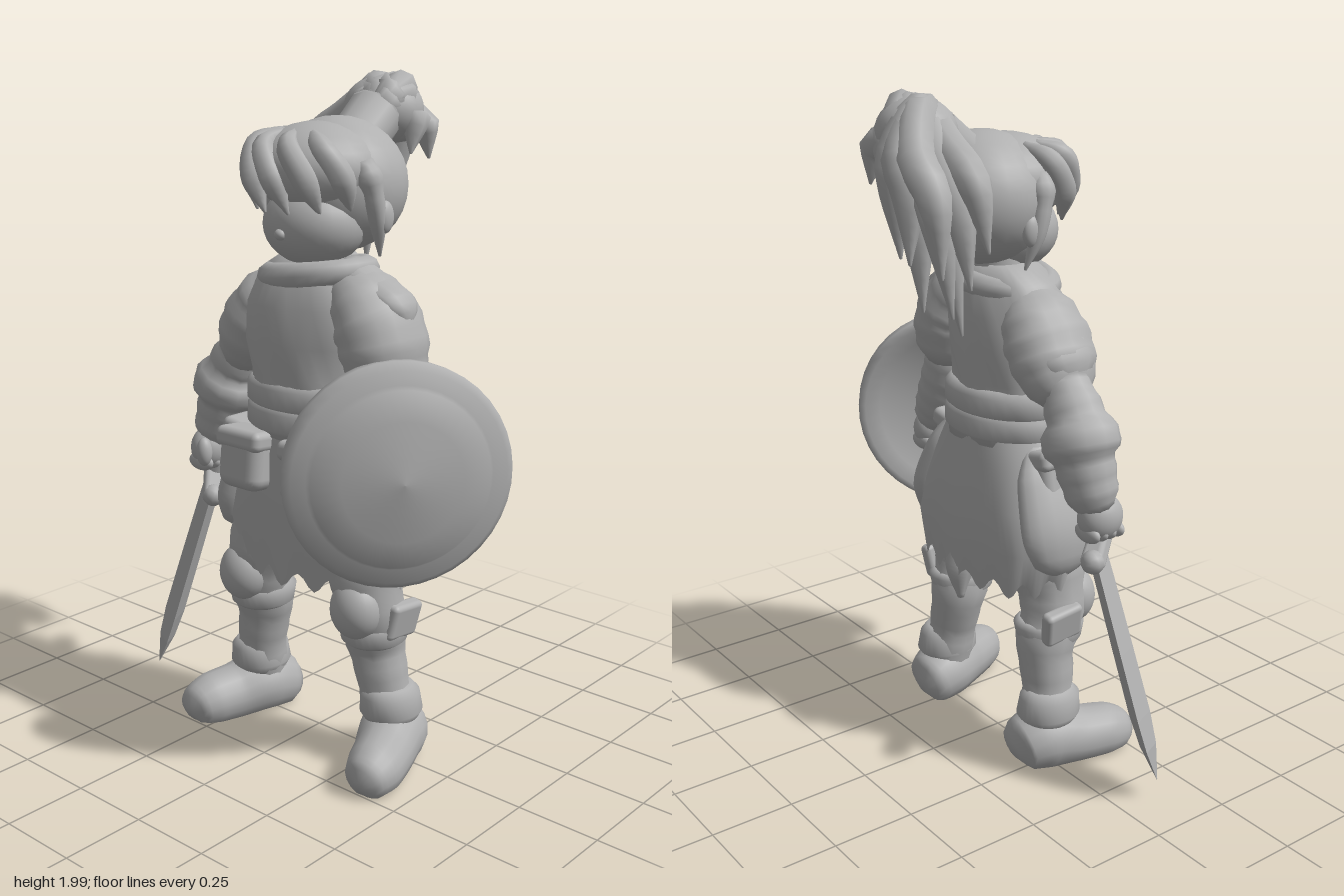
import * as THREE from 'three';
import { RoundedBoxGeometry } from 'three/addons/geometries/RoundedBoxGeometry.js';

const V = (x, y, z) => new THREE.Vector3(x, y, z);

// Closed skin over a list of rings, each with the same number of points
function skin(rings, caps = true) {
  const n = rings[0].length, pos = [], idx = [];
  rings.forEach(r => r.forEach(p => pos.push(p.x, p.y, p.z)));
  for (let i = 0; i < rings.length - 1; i++) for (let j = 0; j < n; j++) {
    const a = i * n + j, b = i * n + (j + 1) % n;
    idx.push(a, b, a + n, b, b + n, a + n);
  }
  const cap = (row, flip) => {
    const c = rings[row].reduce((s, p) => s.add(p), V(0, 0, 0)).divideScalar(n);
    const k = pos.length / 3;
    pos.push(c.x, c.y, c.z);
    for (let j = 0; j < n; j++) {
      const a = row * n + j, b = row * n + (j + 1) % n;
      flip ? idx.push(k, b, a) : idx.push(k, a, b);
    }
  };
  if (caps) {
    cap(0, true);
    cap(rings.length - 1, false);
  }
  const g = new THREE.BufferGeometry();
  g.setAttribute('position', new THREE.Float32BufferAttribute(pos, 3));
  g.setIndex(idx);
  g.computeVertexNormals();
  return g;
}

// Tapered limb through [x, y, z, radius] points; wide stretches it along x
function limb(pts, { steps = 16, sides = 12, floor = -1, folds = 0, wide = 1 } = {}) {
  const curve = new THREE.CatmullRomCurve3(pts.map(p => V(p[0], p[1], p[2])));
  const rad = new THREE.CatmullRomCurve3(pts.map(p => V(p[3], 0, 0)));
  const f = curve.computeFrenetFrames(steps);
  const rings = [];
  for (let i = 0; i <= steps; i++) {
    const u = i / steps, t = curve.getUtoTmapping(u), c = curve.getPoint(t);
    const r = Math.max(0.002, rad.getPoint(t).x) * (1 + folds * Math.sin(i * 1.9));
    rings.push(Array.from({ length: sides }, (_, j) => {
      const a = j / sides * Math.PI * 2;
      const p = c.clone().addScaledVector(f.normals[i], r * Math.cos(a))
        .addScaledVector(f.binormals[i], r * Math.sin(a));
      p.x = c.x + (p.x - c.x) * wide;
      p.y = Math.max(p.y, floor);
      return p;
    }));
  }
  return skin(rings);
}

// Stack of level ovals [x, y, z, rx, rz], listed from top to bottom
function stack(rows, { sides = 32, shape = () => [1, 0], open = false } = {}) {
  return skin(rows.map(([x, y, z, rx, rz], i) => Array.from({ length: sides }, (_, j) => {
    const a = j / sides * Math.PI * 2, [s, dy] = shape(a, i);
    return V(x + rx * s * Math.cos(a), y + dy, z + rz * s * Math.sin(a));
  })), !open);
}

export function createModel() {
  const model = new THREE.Group();
  const grey = new THREE.MeshStandardMaterial({ color: 0xb0b0b0, side: THREE.DoubleSide });
  grey.name = 'grey';
  const add = (name, geo, parent = model) => {
    const m = new THREE.Mesh(geo, grey);
    m.name = name;
    parent.add(m);
    return m;
  };
  const ball = (name, x, y, z, rx, ry, rz) => {
    const m = add(name, new THREE.SphereGeometry(1, 24, 16));
    m.position.set(x, y, z);
    m.scale.set(rx, ry, rz);
  };
  const box = (name, x, y, z, w, h, d, rx = 0, rz = 0) => {
    const m = add(name, new RoundedBoxGeometry(w, h, d, 3, Math.min(w, h, d) * 0.35));
    m.position.set(x, y, z);
    m.rotation.set(rx, 0, rz);
  };

  // Head, facing -x
  ball('hairCap', 0.02, 1.685, 0.05, 0.2, 0.19, 0.205);
  ball('face', -0.08, 1.585, 0.055, 0.14, 0.12, 0.15);
  ball('nose', -0.215, 1.565, 0.05, 0.016, 0.016, 0.018);
  add('neck', limb([[-0.02, 1.56, 0.04, 0.08], [-0.04, 1.42, 0.03, 0.09]]));
  for (const s of [-1, 1]) ball('ear', -0.01, 1.61, 0.055 + s * 0.195, 0.03, 0.045, 0.02);

  // Fringe swept sideways over the forehead, and side locks
  ball('fringeBase', -0.055, 1.735, 0.045, 0.185, 0.128, 0.187);
  for (let k = -2; k <= 2; k++) {
    const at = (r, d) => [-0.05 - r * Math.cos(k * 0.55 + d), 0.035 + r * Math.sin(k * 0.55 + d)];
    const [[x1, z1], [x2, z2], [x3, z3], [x4, z4]] = [at(0.09, -0.5), at(0.165, -0.3), at(0.18, 0), at(0.165, 0.25)];
    add('fringeLock', limb([[x1, 1.835, z1, 0.012], [x2, 1.8, z2, 0.032],
      [x3, 1.72, z3, 0.038], [x4, 1.62, z4, 0.004]], { sides: 8 }));
  }
  for (const s of [-1, 1]) add('sideLock', limb([
    [-0.06, 1.76, 0.05 + s * 0.16, 0.03], [-0.05, 1.69, 0.05 + s * 0.185, 0.03],
    [-0.03, 1.6, 0.05 + s * 0.19, 0.025], [0.0, 1.5, 0.05 + s * 0.175, 0.004]]));

  // Ponytail: tie, crown and tapering locks
  add('hairTie', limb([[0.1, 1.8, 0.05, 0.08], [0.2, 1.87, 0.04, 0.085]]));
  ball('ponytailCrown', 0.26, 1.88, 0.02, 0.11, 0.1, 0.125);
  const tips = [ // tip x, y, z and outward bulge
    [0.25, 1.36, -0.17, -0.01], [0.3, 1.42, -0.2, 0.03], [0.36, 1.54, -0.24, 0.06],
    [0.24, 1.44, -0.1, -0.03], [0.27, 1.5, -0.24, -0.01], [0.38, 1.56, -0.12, 0.07],
    [0.32, 1.42, -0.09, 0.03], [0.24, 1.6, -0.28, -0.04], [0.35, 1.56, -0.03, 0.06],
    [0.29, 1.6, 0.03, 0.02], [0.34, 1.74, 0.13, 0.03], [0.24, 1.76, 0.14, -0.02],
  ];
  tips.forEach(([x, y, z, b], i) => {
    const side = 0.09 - i % 3 * 0.05;
    add('ponytailLock', limb([
      [0.17, 1.86, 0.04, 0.03], [0.23 + b * 0.5, 1.945 - i % 2 * 0.02, side, 0.05],
      [0.295 + b, 1.87 - i % 3 * 0.02, side * 0.4 + z * 0.5, 0.054],
      [0.3 + b, 1.68 + (y - 1.4) * 0.5, z * 0.85, 0.05], [x, y, z, 0.004]], { sides: 8 }));
  });

  // Torso, collar and belt
  add('tunic', stack([
    [-0.04, 1.5, 0.04, 0.09, 0.11], [-0.05, 1.45, 0.04, 0.13, 0.18], [-0.06, 1.36, 0.03, 0.16, 0.21],
    [-0.06, 1.25, 0.025, 0.165, 0.205], [-0.06, 1.16, 0.025, 0.155, 0.19], [-0.055, 1.08, 0.03, 0.155, 0.195],
    [-0.05, 0.98, 0.03, 0.16, 0.2]], { shape: (a, i) => [1 + 0.02 * Math.sin(a * 7 + i * 2), 0] }));
  const collar = add('collar', new THREE.TorusGeometry(0.115, 0.038, 10, 28));
  collar.position.set(-0.055, 1.445, 0.045);
  collar.rotation.x = Math.PI / 2 - 0.12;
  collar.scale.set(1, 1.25, 1);
  for (const y of [1.1, 1.03]) add('belt', stack([
    [-0.055, y + 0.05, 0.03, 0.145, 0.19], [-0.055, y + 0.025, 0.03, 0.17, 0.212],
    [-0.055, y - 0.025, 0.03, 0.17, 0.216], [-0.055, y - 0.05, 0.03, 0.145, 0.19]]));

  // Ragged skirt with hanging side panels
  add('skirt', stack([
    [-0.05, 1.02, 0.03, 0.15, 0.195], [-0.045, 0.92, 0.03, 0.165, 0.25], [-0.035, 0.8, 0.035, 0.175, 0.295],
    [-0.03, 0.68, 0.035, 0.18, 0.33], [-0.03, 0.56, 0.035, 0.17, 0.29]], {
    sides: 96, open: true,
    shape: (a, i) => [1 + 0.008 * i * Math.cos(a * 8), i === 4 ? -0.025 * Math.cos(a * 16) : 0],
  }));
  add('tail', limb([[0.09, 0.66, 0.04, 0.05], [0.115, 0.57, 0.04, 0.045], [0.12, 0.47, 0.03, 0.01]], { sides: 8 }));
  for (const s of [-1, 1]) {
    add('sidePanel', limb([
      [-0.04, 1.0, 0.035 + s * 0.18, 0.02], [-0.04, 0.9, 0.035 + s * 0.225, 0.05], [-0.04, 0.75, 0.035 + s * 0.28, 0.06],
      [-0.04, 0.65, 0.035 + s * 0.295, 0.045], [-0.04, 0.6, 0.035 + s * 0.295, 0.005]], { wide: 2.2, sides: 16 }));
    box('hipPouch', -0.07, 0.9, 0.035 + s * 0.24, 0.18, 0.15, 0.09, s * -0.2);
    box('hipPouchFlap', -0.07, 0.955, 0.035 + s * 0.235, 0.19, 0.06, 0.1, s * -0.2);
    box('frontPouch', -0.215, 0.9, 0.035 + s * 0.12, 0.11, 0.17, 0.16, 0, -0.1);
    box('frontPouchFlap', -0.21, 0.965, 0.035 + s * 0.12, 0.12, 0.06, 0.17, 0, -0.1);
  }

  // Legs and boots: z of hip, knee, calf, ankle and toe
  [[0.2, 0.255, 0.245, 0.295, 0.385], [-0.12, -0.195, -0.205, -0.24, -0.305]].forEach(([hip, knee, calf, ankle, toe], i) => {
    const s = i ? -1 : 1;
    add('leg', limb([[-0.04, 0.8, hip, 0.12], [-0.06, 0.62, (hip + knee) / 2, 0.115], [-0.06, 0.48, knee, 0.098],
      [-0.025, 0.37, calf, 0.09], [-0.02, 0.25, (calf + ankle) / 2, 0.078], [0, 0.08, ankle, 0.08]],
    { steps: 24, folds: 0.03 }));
    add('boot', limb([[0.105, 0.05, ankle - s * 0.02, 0.03], [0.085, 0.055, ankle - s * 0.02, 0.08],
      [0.0, 0.075, ankle, 0.1], [-0.1, 0.06, (ankle + toe) / 2, 0.09],
      [-0.19, 0.055, toe - s * 0.01, 0.083], [-0.25, 0.045, toe, 0.06], [-0.268, 0.04, toe, 0.015]],
    { steps: 28, sides: 16, floor: 0 }));
    add('bootCuff', stack([[-0.015, 0.24, ankle, 0.07, 0.065], [-0.015, 0.215, ankle, 0.095, 0.082],
      [-0.01, 0.16, ankle, 0.1, 0.09], [-0.01, 0.13, ankle, 0.08, 0.075]]));
    ball('kneePad', -0.125, 0.5, knee, 0.075, 0.09, 0.08);
    add('kneeStrap', stack([[-0.045, 0.45, knee, 0.09, 0.085], [-0.045, 0.435, knee, 0.11, 0.1],
      [-0.045, 0.39, knee, 0.1, 0.095], [-0.045, 0.375, knee, 0.08, 0.075]]));
    box('legPlate', -0.025, 0.46, knee + s * 0.085, 0.13, 0.11, 0.045, s * 0.2, -0.12);
  });

  // Arms; the sword arm slopes more steeply than the shield arm
  const arms = [
    {
      sleeve: [[-0.06, 1.44, 0.14, 0.05], [-0.06, 1.385, 0.22, 0.095], [-0.06, 1.3, 0.28, 0.115],
        [-0.06, 1.2, 0.305, 0.105], [-0.06, 1.14, 0.325, 0.07]],
      strap: [[-0.055, 1.48, 0.16, 0.03], [-0.055, 1.43, 0.24, 0.04], [-0.055, 1.38, 0.345, 0.035], [-0.055, 1.33, 0.37, 0.01]],
      forearm: [[-0.06, 1.2, 0.31, 0.07], [-0.06, 1.1, 0.335, 0.085], [-0.06, 1.0, 0.38, 0.08],
        [-0.065, 0.93, 0.42, 0.07], [-0.07, 0.88, 0.44, 0.045]],
      hand: [-0.075, 0.87, 0.45],
    },
    {
      sleeve: [[-0.05, 1.42, -0.06, 0.05], [-0.05, 1.36, -0.12, 0.095], [-0.05, 1.28, -0.175, 0.11],
        [-0.045, 1.21, -0.22, 0.1], [-0.04, 1.15, -0.27, 0.06]],
      strap: [[-0.05, 1.43, -0.1, 0.03], [-0.05, 1.36, -0.18, 0.05], [-0.05, 1.26, -0.25, 0.055], [-0.05, 1.19, -0.295, 0.015]],
      forearm: [[-0.04, 1.2, -0.25, 0.07], [-0.035, 1.1, -0.32, 0.088], [-0.03, 1.0, -0.36, 0.088],
        [-0.035, 0.9, -0.395, 0.075], [-0.04, 0.86, -0.41, 0.05]],
      hand: [-0.05, 0.84, -0.41],
    },
  ];
  arms.forEach(({ sleeve, strap, forearm, hand: [x, y, z] }) => {
    add('sleeve', limb(sleeve, { folds: 0.03, wide: 1.25, sides: 16 }));
    add('shoulderStrap', limb(strap, { wide: 1.8 }));
    add('forearm', limb(forearm, { folds: 0.03, steps: 20 }));
    ball('fist', x, y, z, 0.07, 0.07, 0.058);
    for (let k = 0; k < 4; k++) ball('finger', x - 0.045 + k * 0.03, y - 0.04, z, 0.02, 0.028, 0.05);
    ball('thumb', x - 0.06, y, z - Math.sign(z) * 0.03, 0.025, 0.045, 0.025);
  });

  // Round domed shield on the +z arm
  const shield = new THREE.Group();
  shield.name = 'shield';
  shield.position.set(-0.14, 0.935, 0.41);
  shield.quaternion.setFromUnitVectors(V(0, 1, 0), V(-0.62, 0, 0.78).normalize());
  model.add(shield);
  add('shieldFace', new THREE.LatheGeometry([[0, 0.03], [0.15, 0.01], [0.25, -0.025], [0.295, -0.045], [0.318, -0.035],
    [0.322, 0.005], [0.3, 0.03], [0.26, 0.03], [0.25, 0.045], [0.17, 0.07], [0, 0.09]]
    .map(p => new THREE.Vector2(...p)), 40), shield);

  // Sword in the -z hand; local -y runs to the tip, local x along the guard
  const sword = new THREE.Group();
  sword.name = 'sword';
  sword.position.set(-0.045, 0.74, -0.405);
  const up = V(0.07, 0.65, 0.2).normalize();
  const side = V(0.16, 0.05, -0.15);
  side.addScaledVector(up, -side.dot(up)).normalize();
  sword.quaternion.setFromRotationMatrix(new THREE.Matrix4().makeBasis(side, up, side.clone().cross(up)));
  model.add(sword);
  const blade = [[0, 0.07], [-0.08, 0.075], [-0.3, 0.08], [-0.5, 0.082], [-0.6, 0.065], [-0.71, 0.003]];
  add('blade', skin(blade.map(([y, w]) => [[w, 0], [0, w * 0.38], [-w, 0], [0, -w * 0.38]]
    .map(([x, z]) => V(x, y, z)))).toNonIndexed(), sword).geometry.computeVertexNormals();
  add('guard', new RoundedBoxGeometry(0.3, 0.05, 0.065, 2, 0.015), sword);
  for (const s of [-1, 1]) add('guardEnd', new THREE.SphereGeometry(0.034, 10, 8), sword).position.x = s * 0.135;
  add('grip', new THREE.CylinderGeometry(0.025, 0.025, 0.16, 10), sword).position.y = 0.08;
  add('pommel', new THREE.SphereGeometry(0.035, 12, 8), sword).position.y = 0.17;
  return model;
}
